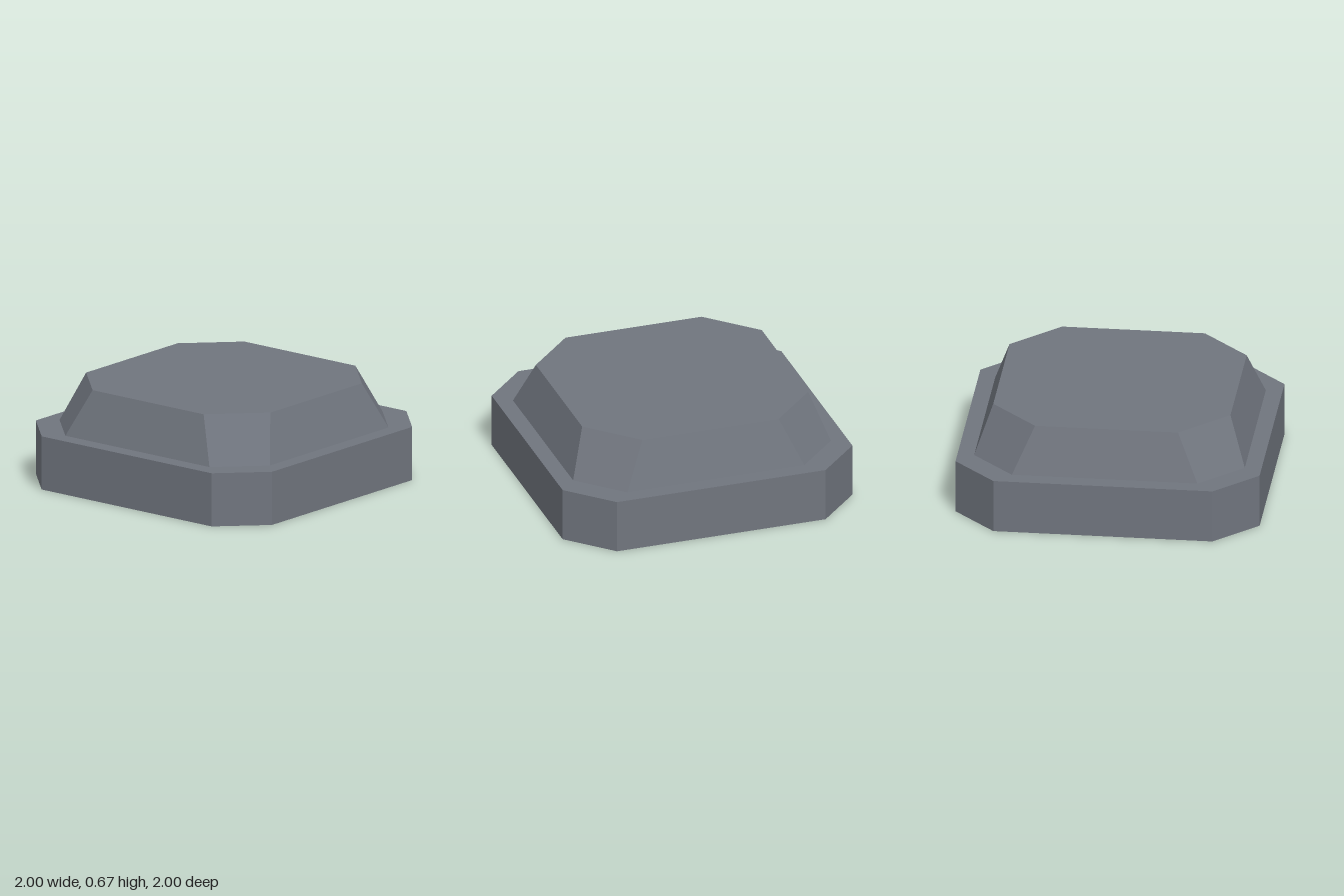
import * as THREE from 'three';

// Octagon with flat sides at distance a, side corners at +-b, at height y
function octagon([a, b, y]) {
  return [[a, b], [b, a], [-b, a], [-a, b], [-a, -b], [-b, -a], [b, -a], [a, -b]]
    .map(([x, z]) => [x, y, z]);
}

function toGeometry(pos) {
  const geo = new THREE.BufferGeometry();
  geo.setAttribute('position', new THREE.Float32BufferAttribute(pos, 3));
  geo.computeVertexNormals();
  return geo;
}

// Skin a list of octagons; the surface faces outward where the list runs upward
function loft(levels) {
  const rings = levels.map(octagon);
  const pos = [];
  for (let i = 0; i < rings.length - 1; i++) {
    const lo = rings[i], hi = rings[i + 1];
    for (let j = 0; j < 8; j++) {
      const k = (j + 1) % 8;
      pos.push(...lo[j], ...hi[j], ...hi[k], ...lo[j], ...hi[k], ...lo[k]);
    }
  }
  return toGeometry(pos);
}

// Flat octagonal plate facing up or down
function plate(level, up) {
  const p = octagon(level);
  const pos = [];
  for (let j = 1; j < 7; j++) {
    pos.push(...p[0], ...(up ? p[j + 1] : p[j]), ...(up ? p[j] : p[j + 1]));
  }
  return toGeometry(pos);
}

export function createModel() {
  const group = new THREE.Group();
  const material = (name, color) => {
    const m = new THREE.MeshStandardMaterial({ color, flatShading: true, side: THREE.DoubleSide });
    m.name = name;
    return m;
  };
  const grey = material('stone grey', 0x70757e);
  const blue = material('slate blue', 0x3b4d60);
  const cyan = material('pale cyan', 0x8fd0e4);

  const add = (name, geo, mat) => {
    const mesh = new THREE.Mesh(geo, mat);
    mesh.name = name;
    group.add(mesh);
  };

  // Hollow skirt with its ledge plate
  add('skirt', loft([[1, 0.72, 0], [1, 0.72, 0.36]]), grey);
  add('ledge', plate([1, 0.72, 0.36], true), grey);
  // Tapered upper block
  add('upperBlock', loft([[0.89, 0.61, 0.36], [0.78, 0.47, 0.67]]), grey);
  add('upperBlockTop', plate([0.78, 0.47, 0.67], true), grey);

  // Pale band around the inner frame, slightly wider than it
  add('innerBand', loft([[0.86, 0.36, 0.09], [0.89, 0.39, 0.09], [0.89, 0.39, 0.36]]), cyan);

  // Inner frame: recess ledge, recess wall, overhanging lip, stepped underside, outer wall
  add('innerFrame', loft([
    [0.635, 0.315, 0.27],
    [0.745, 0.435, 0.27],
    [0.745, 0.435, 0.03],
    [0.69, 0.23, 0.03],
    [0.69, 0.23, 0.01],
    [0.76, 0.37, 0.01],
    [0.76, 0.37, 0.03],
    [0.86, 0.36, 0.015],
    [0.86, 0.36, 0.09],
  ]), blue);
  // Panel closing the recess
  add('recessPanel', plate([0.635, 0.315, 0.27], false), grey);

  return group;
}
